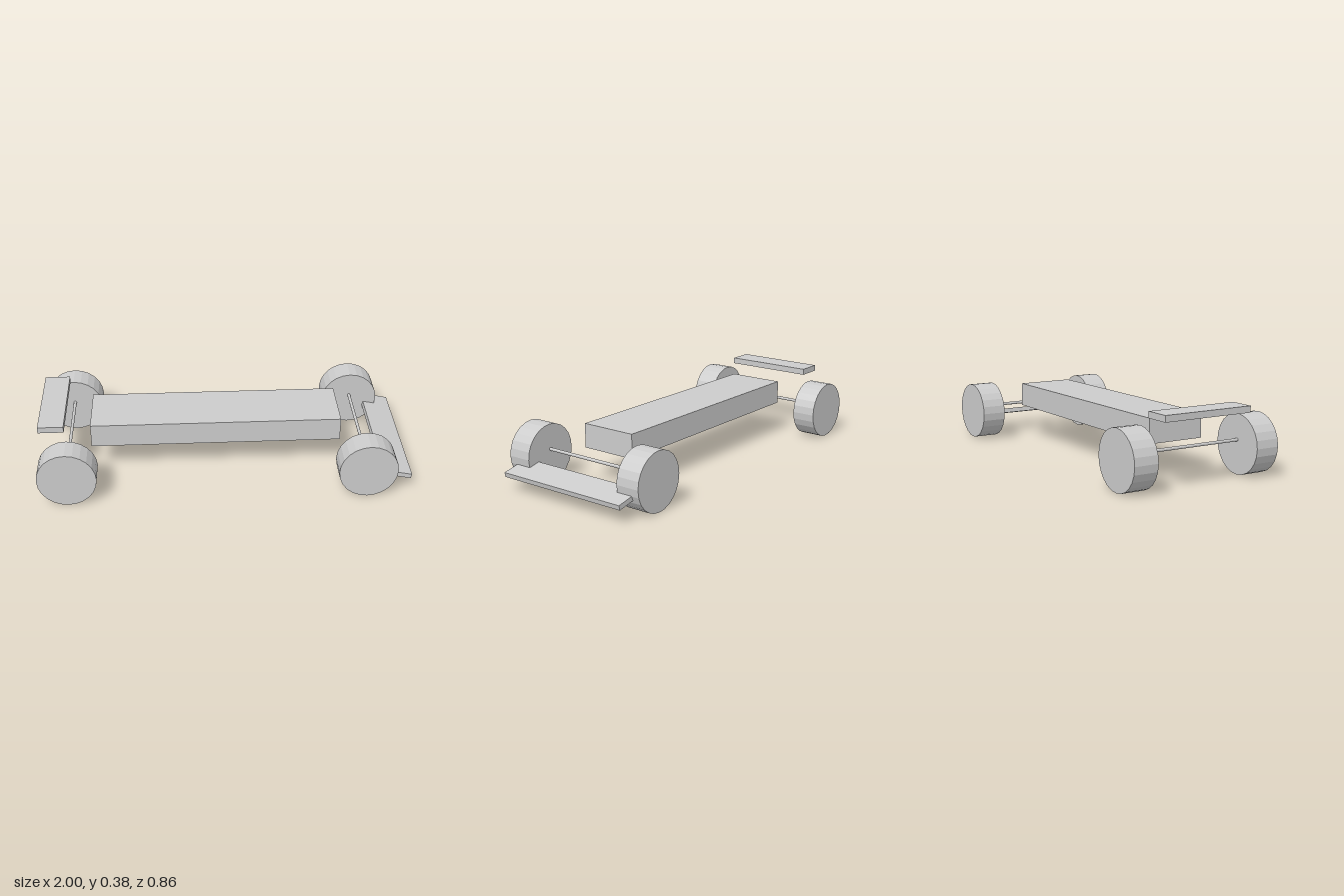
import * as THREE from 'three';

export function createModel() {
  const group = new THREE.Group();
  group.name = 'racingCarChassis';
  const grey = new THREE.MeshStandardMaterial({ color: 0xcccccc, flatShading: true });
  grey.name = 'plain grey';

  const add = (name, geometry, x, y, z) => {
    const mesh = new THREE.Mesh(geometry, grey);
    mesh.name = name;
    mesh.position.set(x, y, z);
    group.add(mesh);
    return mesh;
  };

  // Long central body
  add('body', new THREE.BoxGeometry(1.358, 0.131, 0.317), -0.043, 0.2525, 0);

  // Raised rear wing and tilted front wing
  add('rearWing', new THREE.BoxGeometry(0.137, 0.034, 0.51), -0.9215, 0.365, 0);
  const frontWing = add('frontWing', new THREE.BoxGeometry(0.161, 0.026, 0.772), 0.919, 0.1053, 0);
  frontWing.rotation.z = -THREE.MathUtils.degToRad(12);

  // Wheels and axles run along z
  const wheel = new THREE.CylinderGeometry(0.158, 0.158, 0.134, 24).rotateX(Math.PI / 2);
  const axle = new THREE.CylinderGeometry(0.0085, 0.0085, 0.62, 12).rotateX(Math.PI / 2);
  for (const [end, x] of [['rear', -0.842], ['front', 0.756]]) {
    add(end + 'Axle', axle, x, 0.1825, 0);
    add(end + 'LeftWheel', wheel, x, 0.16, -0.363);
    add(end + 'RightWheel', wheel, x, 0.16, 0.363);
  }
  return group;
}
